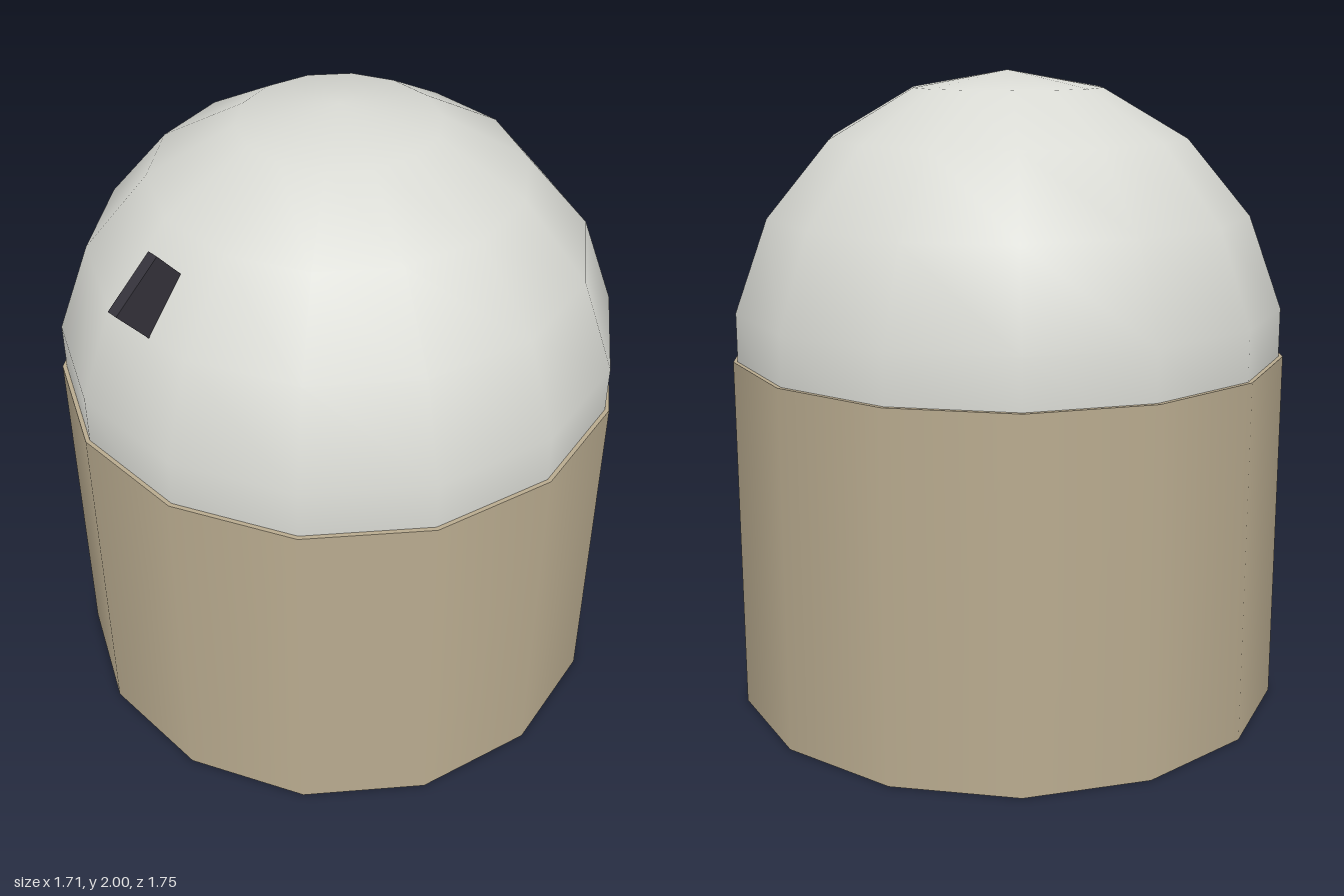
import * as THREE from 'three';

const SIDES = 14;
const RADIUS = 0.875;
const WALL_HEIGHT = 1.125;

export function createModel() {
  const tan = new THREE.MeshStandardMaterial({ name: 'tan', color: 0xb9ab8f });
  const paleGrey = new THREE.MeshStandardMaterial({ name: 'paleGrey', color: 0xd9dad4 });
  const charcoal = new THREE.MeshStandardMaterial({ name: 'charcoal', color: 0x34323a });

  const model = new THREE.Group();
  model.name = 'domedTower';
  const add = (name, geometry, material) => {
    const mesh = new THREE.Mesh(geometry, material);
    mesh.name = name;
    model.add(mesh);
    return mesh;
  };

  // Smooth-shaded drum with flat caps
  const wall = add('wall', new THREE.CylinderGeometry(RADIUS, RADIUS, WALL_HEIGHT, SIDES), tan);
  wall.position.y = WALL_HEIGHT / 2;

  // Sphere sunk halfway into the drum, turned so its corners line up with it
  const dome = add('dome', new THREE.SphereGeometry(RADIUS, SIDES, 9), paleGrey);
  dome.rotation.y = Math.PI / 2;
  dome.position.y = WALL_HEIGHT;

  // Thin shutter fin standing out of the dome's right shoulder
  const fin = add('shutterFin', new THREE.BoxGeometry(0.195, 0.22, 0.036), charcoal);
  fin.position.set(-0.695, 1.655, 0);
  fin.rotation.z = 0.695;

  return model;
}
